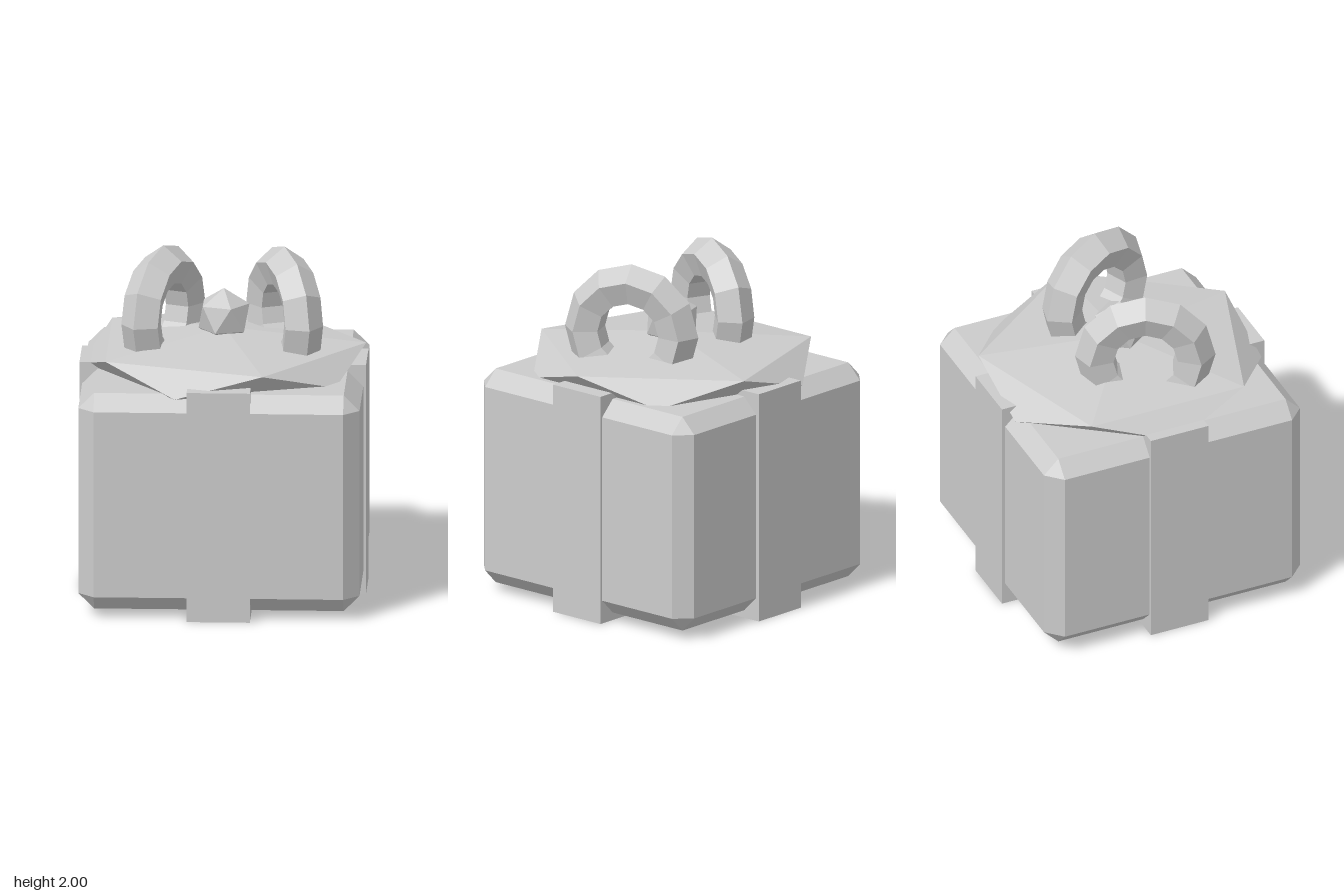
import * as THREE from 'three';
import { ConvexGeometry } from 'three/addons/geometries/ConvexGeometry.js';

const material = new THREE.MeshStandardMaterial({ color: 0xcccccc, flatShading: true });

function part(name, geometry, x = 0, y = 0, z = 0) {
  const mesh = new THREE.Mesh(geometry, material);
  mesh.name = name;
  mesh.position.set(x, y, z);
  return mesh;
}

// Box with every edge and corner cut by the same chamfer c
function chamferedBox(w, h, d, c) {
  const points = [];
  for (const sx of [-1, 1]) for (const sy of [-1, 1]) for (const sz of [-1, 1]) {
    for (let axis = 0; axis < 3; axis++) {
      const inset = [c, c, c];
      inset[axis] = 0;
      points.push(new THREE.Vector3(
        sx * (w / 2 - inset[0]), sy * (h / 2 - inset[1]), sz * (d / 2 - inset[2])));
    }
  }
  return new ConvexGeometry(points);
}

// Icosahedron standing on a pole, with its own radius and half height
function polarIcosahedron(radius, halfHeight) {
  const ring = radius * 2 / Math.sqrt(5), level = halfHeight / Math.sqrt(5);
  const points = [new THREE.Vector3(0, halfHeight, 0), new THREE.Vector3(0, -halfHeight, 0)];
  for (let i = 0; i < 10; i++) {
    const a = i * Math.PI / 5;
    points.push(new THREE.Vector3(ring * Math.cos(a), i % 2 ? -level : level, ring * Math.sin(a)));
  }
  return new ConvexGeometry(points);
}

export function createModel() {
  const model = new THREE.Group();
  model.name = 'giftBox';

  // Chamfered package body
  model.add(part('box', chamferedBox(1.6, 1.27, 1.6, 0.09), 0, 0.685, 0));

  // Two crossing ribbon straps around the package
  model.add(part('ribbonFrontToBack', new THREE.BoxGeometry(0.36, 1.35, 1.64), 0, 0.68, 0));
  model.add(part('ribbonSideToSide', new THREE.BoxGeometry(1.63, 1.35, 0.36), 0, 0.68, 0));

  // Flattened faceted rosette under the bow
  model.add(part('rosette', polarIcosahedron(0.905, 0.155), 0, 1.37, 0));

  // Bow: a faceted knot between two mirrored loops sunk into the rosette
  model.add(part('bowKnot', polarIcosahedron(0.162, 0.162), 0, 1.59, 0));
  for (const side of [-1, 1]) {
    const loop = part(side > 0 ? 'bowLoopLeft' : 'bowLoopRight',
      new THREE.TorusGeometry(0.28, 0.12, 5, 12), side * 0.345, 1.6, 0);
    loop.rotation.y = -side * THREE.MathUtils.degToRad(67);
    model.add(loop);
  }
  return model;
}
